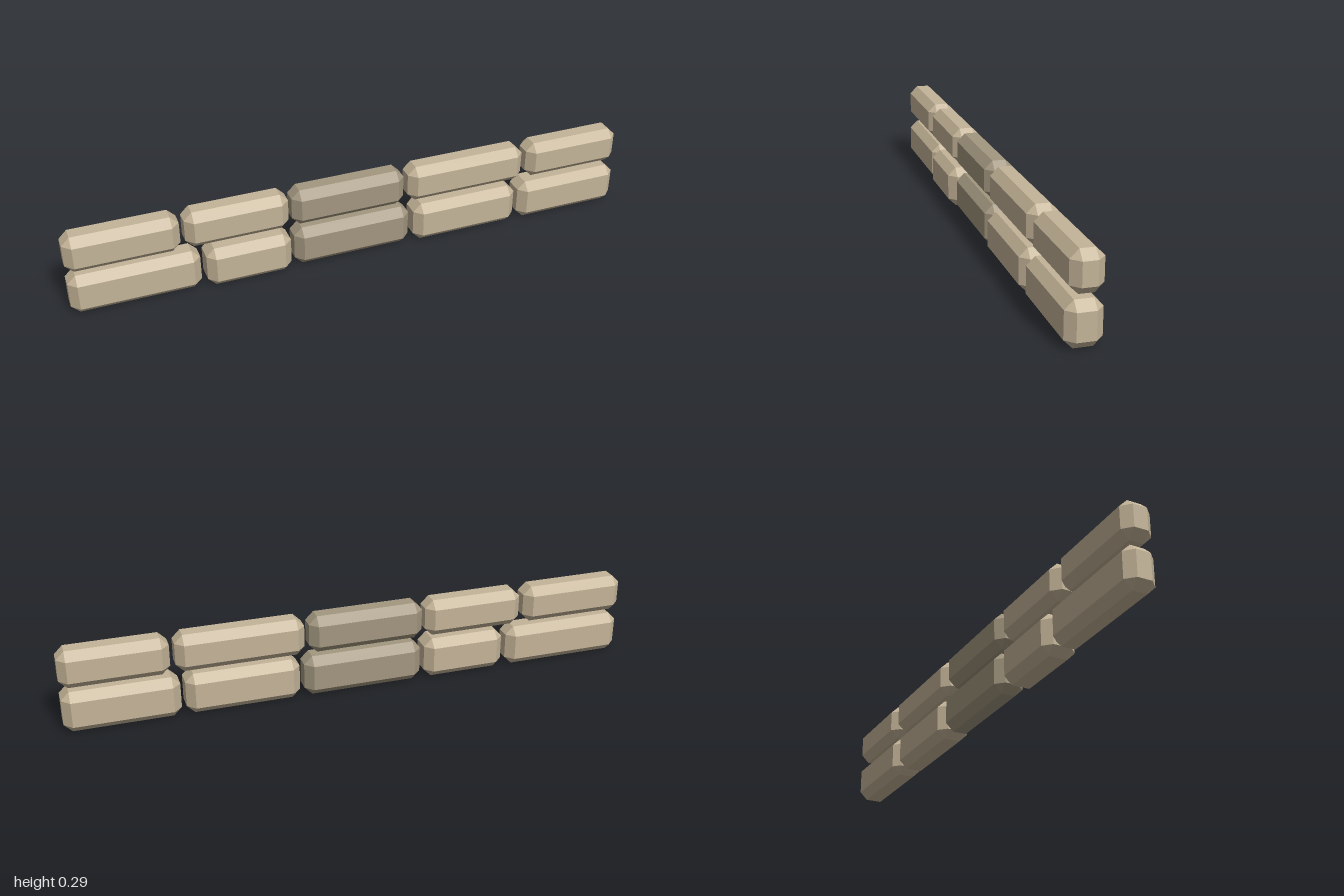
import * as THREE from 'three';
import { ConvexGeometry } from 'three/addons/geometries/ConvexGeometry.js';

const BEVEL = 0.028;
const BACK = -0.059;

// Box with every edge cut by a flat chamfer
function chamferedBox(w, h, d, b) {
  const points = [];
  for (const sx of [-1, 1]) for (const sy of [-1, 1]) for (const sz of [-1, 1]) {
    const x = w / 2, y = h / 2, z = d / 2;
    points.push(
      new THREE.Vector3(sx * x, sy * (y - b), sz * (z - b)),
      new THREE.Vector3(sx * (x - b), sy * y, sz * (z - b)),
      new THREE.Vector3(sx * (x - b), sy * (y - b), sz * z)
    );
  }
  return new ConvexGeometry(points);
}

export function createModel() {
  const model = new THREE.Group();
  model.name = 'stoneCourses';
  const light = new THREE.MeshStandardMaterial({ color: 0xc4b498, flatShading: true });
  const dark = new THREE.MeshStandardMaterial({ color: 0xa39780, flatShading: true });

  // Each stone: left x, right x, front z
  const courses = [
    { name: 'lowerCourse', y0: 0, y1: 0.145, stones: [
      [-1, -0.562, 0.046], [-0.545, -0.25, 0.06], [-0.234, 0.187, 0.046],
      [0.203, 0.596, 0.056], [0.612, 1, 0.056]] },
    { name: 'upperCourse', y0: 0.16, y1: 0.292, stones: [
      [-1, -0.622, 0.044], [-0.606, -0.25, 0.043], [-0.238, 0.168, 0.042],
      [0.184, 0.623, 0.043], [0.64, 1, 0.044]] },
  ];

  for (const { name, y0, y1, stones } of courses) {
    const course = new THREE.Group();
    course.name = name;
    stones.forEach(([x0, x1, front], i) => {
      const geometry = chamferedBox(x1 - x0, y1 - y0, front - BACK, BEVEL);
      const stone = new THREE.Mesh(geometry, i === 2 ? dark : light); // darker middle stone
      stone.name = `stone${i + 1}`;
      stone.position.set((x0 + x1) / 2, (y0 + y1) / 2, (front + BACK) / 2);
      course.add(stone);
    });
    model.add(course);
  }
  return model;
}
